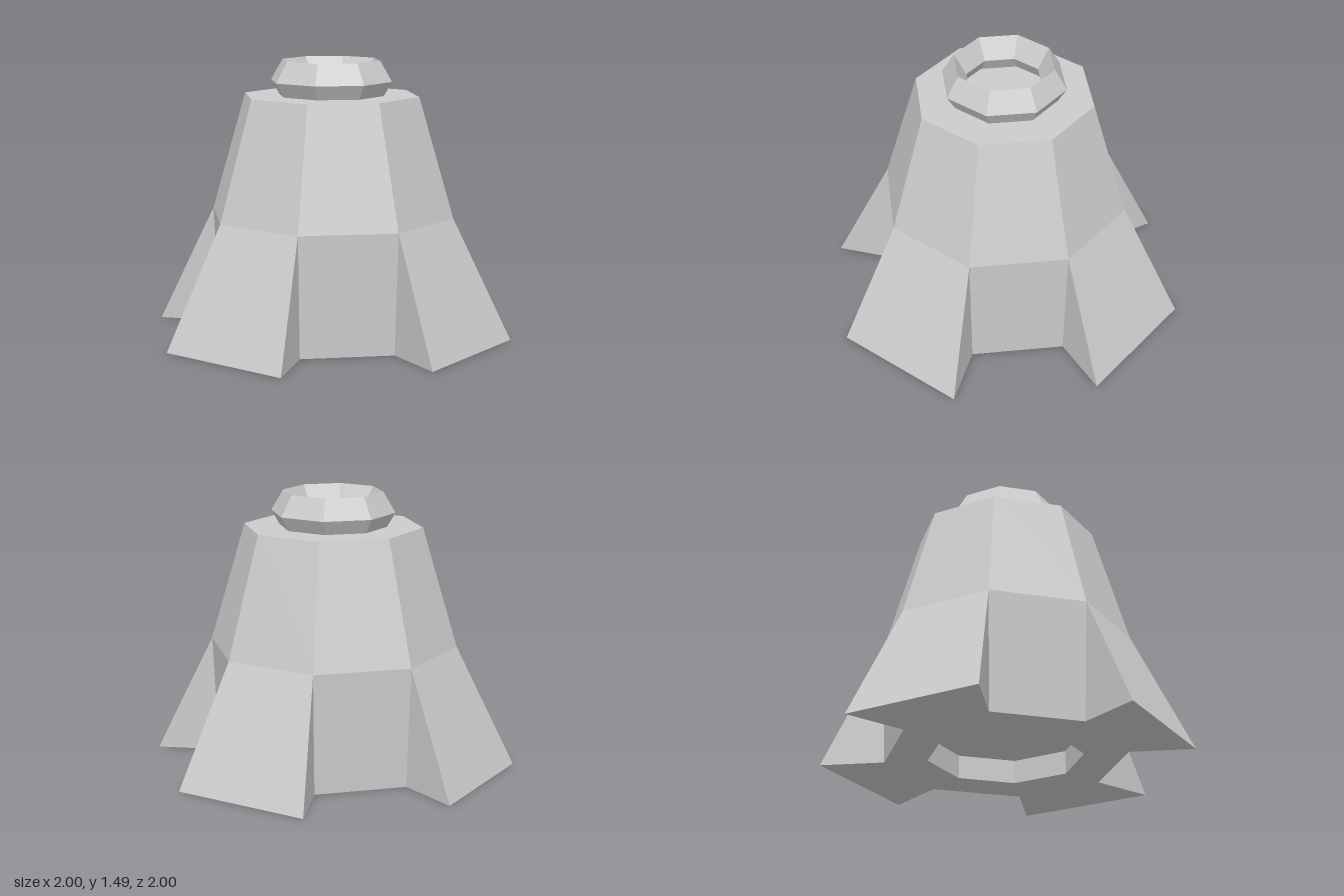
import * as THREE from 'three';

const SIDES = 8;
const material = new THREE.MeshStandardMaterial({ color: 0xcccccc, flatShading: true });

// Faceted solid of revolution from [radius, height] pairs, listed bottom to top on the outside
function facetedLathe(name, profile) {
  const points = profile.map(([r, y]) => new THREE.Vector2(r, y));
  const geometry = new THREE.LatheGeometry(points, SIDES).toNonIndexed();
  geometry.computeVertexNormals();
  const mesh = new THREE.Mesh(geometry, material);
  mesh.name = name;
  return mesh;
}

// Wedge that flares out from one face of the body
function flareGeometry(waist, waistY, base, tip) {
  const at = (r, y, side) => {
    const a = (Math.PI / 4) * (1 + side);
    return [r * Math.sin(a), y, r * Math.cos(a)];
  };
  const [t0, t1] = [0, 1].map((s) => at(waist, waistY, s));
  const [o0, o1] = [0, 1].map((s) => at(tip, 0, s));
  const [i0, i1] = [0, 1].map((s) => at(base, 0, s));
  const triangles = [
    o0, o1, t1, o0, t1, t0, // sloping outer face
    i0, i1, o1, i0, o1, o0, // underside
    o0, t0, i0, o1, i1, t1, // radial cheeks
  ];
  const geometry = new THREE.BufferGeometry();
  geometry.setAttribute('position', new THREE.Float32BufferAttribute(triangles.flat(), 3));
  geometry.computeVertexNormals();
  return geometry;
}

export function createModel() {
  const model = new THREE.Group();
  model.name = 'flaredTower';
  const waist = 0.679, waistY = 0.652, base = 0.65, topY = 1.303;

  // Eight-sided body with a shallow recess in the underside
  model.add(facetedLathe('body', [
    [0, 0.13], [0.416, 0.13], [0.416, 0], [base, 0],
    [waist, waistY], [0.487, topY], [0, topY],
  ]));

  // Diamond-section ring half sunk into the top
  const ringR = 0.272, ringY = 1.38, halfW = 0.066, halfH = 0.112;
  model.add(facetedLathe('topRing', [
    [ringR, ringY - halfH], [ringR + halfW, ringY],
    [ringR, ringY + halfH], [ringR - halfW, ringY], [ringR, ringY - halfH],
  ]));

  // Flared feet on every other face
  const flare = flareGeometry(waist, waistY, base, 1);
  for (let i = 0; i < 4; i++) {
    const foot = new THREE.Mesh(flare, material);
    foot.name = 'flaredFoot' + (i + 1);
    foot.rotation.y = (i * Math.PI) / 2;
    model.add(foot);
  }
  return model;
}
